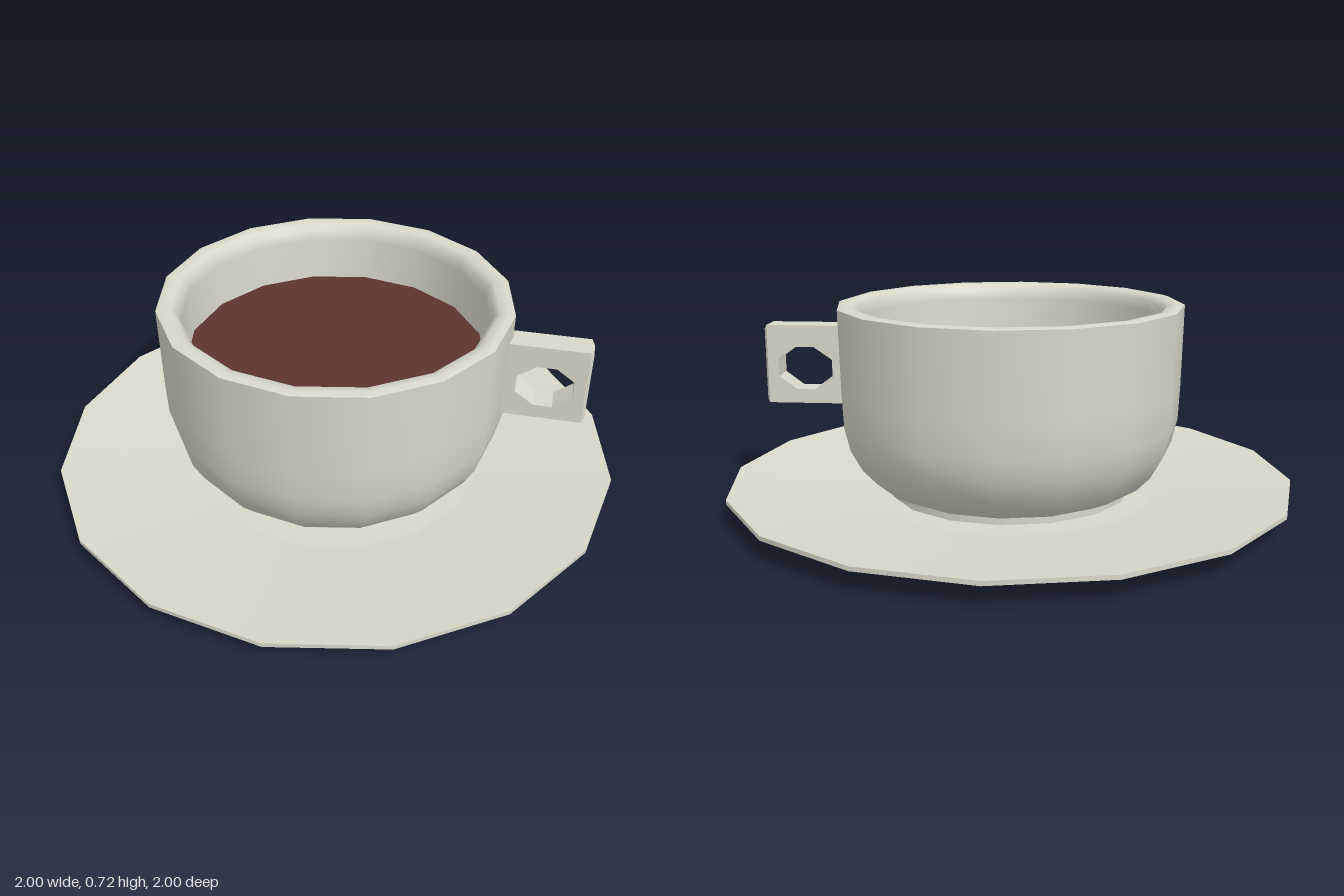
import * as THREE from 'three';

const SIDES = 16;
const china = new THREE.MeshStandardMaterial({ color: 0xd8d8ca });
china.name = 'china';
const coffeeBrown = new THREE.MeshStandardMaterial({ color: 0x5c352d });
coffeeBrown.name = 'coffee brown';

// Group of lathed strips: smooth within a strip, sharp where strips meet
function turned(name, strips) {
  const group = new THREE.Group();
  group.name = name;
  for (const [part, points] of Object.entries(strips)) {
    const profile = points.map(([r, y]) => new THREE.Vector2(r, y));
    const mesh = new THREE.Mesh(new THREE.LatheGeometry(profile, SIDES), china);
    mesh.name = part;
    group.add(mesh);
  }
  return group;
}

function createHandle() {
  const handle = new THREE.Group();
  handle.name = 'handle';
  const x0 = 0.565, x1 = 0.862, y0 = 0.35, y1 = 0.63, width = 0.09;

  // Square grip with an octagonal finger hole
  const shape = new THREE.Shape([[x0, y0], [x1, y0], [x1, y1], [x0, y1]]
    .map(([x, y]) => new THREE.Vector2(x, y)));
  shape.holes.push(new THREE.Path([
    [0.695, 0.40], [0.63, 0.447], [0.63, 0.508], [0.695, 0.553],
    [0.76, 0.553], [0.823, 0.508], [0.823, 0.447], [0.76, 0.40],
  ].map(([x, y]) => new THREE.Vector2(x, y))));
  const gripGeo = new THREE.ExtrudeGeometry(shape, { depth: width, bevelEnabled: false });
  gripGeo.translate(0, 0, -width / 2);
  const grip = new THREE.Mesh(gripGeo, china);
  grip.name = 'grip';

  // Chamfered outer end
  const endGeo = new THREE.BoxGeometry(0.01, y1 - y0, width).toNonIndexed();
  const p = endGeo.attributes.position;
  for (let i = 0; i < p.count; i++) {
    if (p.getX(i) > 0) {
      p.setY(i, p.getY(i) * 0.9);
      p.setZ(i, p.getZ(i) * 0.7);
    }
  }
  endGeo.computeVertexNormals();
  const end = new THREE.Mesh(endGeo, china);
  end.name = 'gripEnd';
  end.position.set(x1 + 0.005, (y0 + y1) / 2, 0);

  handle.add(grip, end);
  return handle;
}

export function createModel() {
  const model = new THREE.Group();
  model.name = 'cupAndSaucer';

  const saucer = turned('saucer', {
    footBase: [[0, 0], [0.53, 0]],
    footWall: [[0.53, 0], [0.53, 0.025]],
    underside: [[0.53, 0.025], [1, 0.075]],
    rimEdge: [[1, 0.075], [1, 0.09]],
    slope: [[1, 0.09], [0.52, 0.042]],
    well: [[0.52, 0.042], [0, 0.042]],
  });

  const cup = turned('cup', {
    cupBase: [[0, 0.045], [0.43, 0.045]],
    cupFoot: [[0.43, 0.045], [0.43, 0.068]],
    outerWall: [[0.43, 0.068], [0.485, 0.095], [0.535, 0.148], [0.575, 0.222],
      [0.595, 0.305], [0.6, 0.42], [0.606, 0.712]],
    lipAndInnerWall: [[0.606, 0.712], [0.585, 0.718], [0.555, 0.714],
      [0.535, 0.695], [0.528, 0.66], [0.518, 0.48]],
  });

  // Drink surface, lined up with the cup's corners
  const coffee = new THREE.Mesh(new THREE.CircleGeometry(0.52, SIDES), coffeeBrown);
  coffee.name = 'coffee';
  coffee.rotation.x = -Math.PI / 2;
  coffee.position.y = 0.505;

  model.add(saucer, cup, createHandle(), coffee);
  return model;
}
